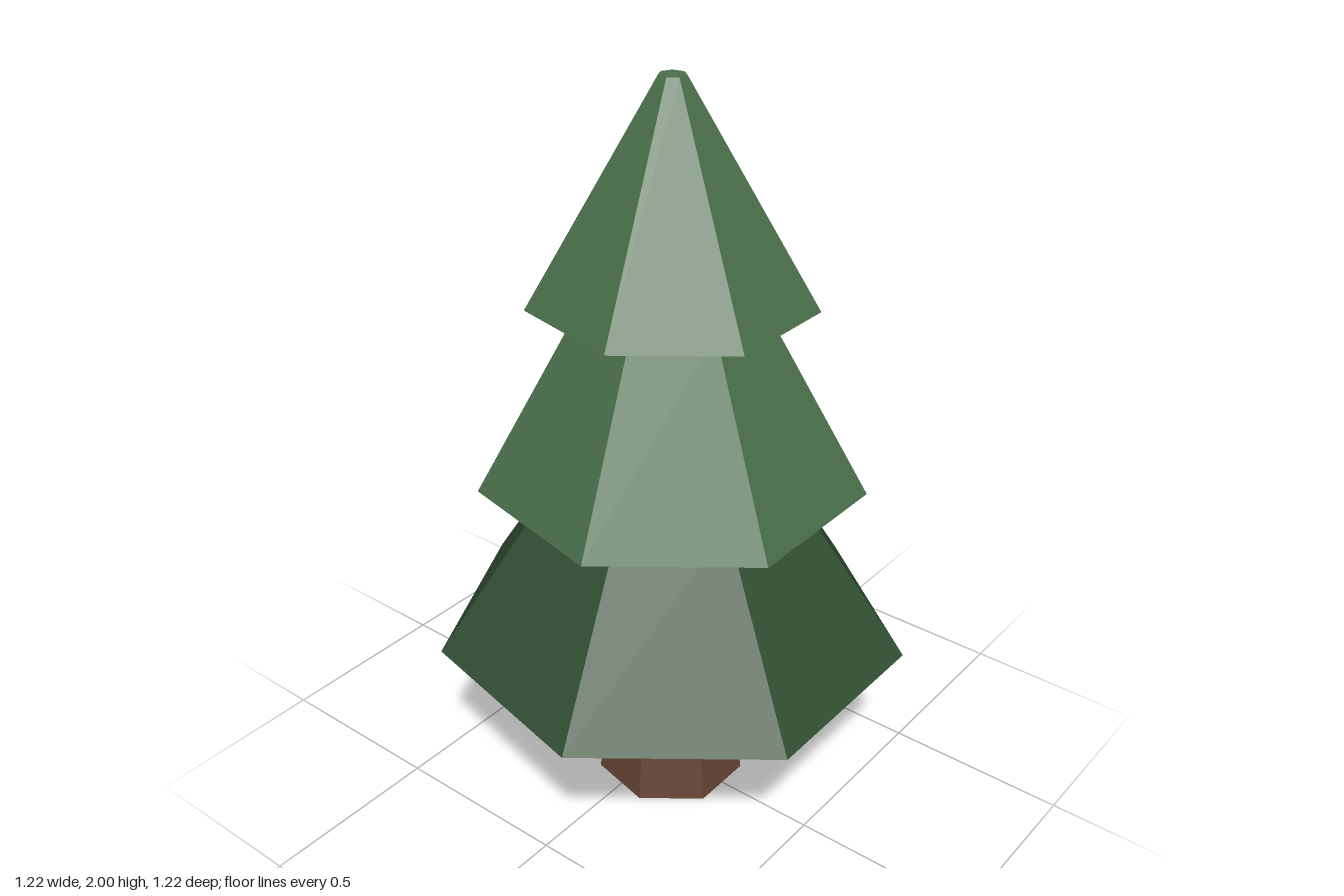
import * as THREE from 'three';

const SIDES = 7;
const DEPTH_STRETCH = 1.026; // slightly deeper than wide
const AXIS_Z = 0.032; // a corner points back, so the axis sits forward of centre

function flatMaterial(name, color) {
  const material = new THREE.MeshStandardMaterial({ color, flatShading: true });
  material.name = name;
  return material;
}

// Seven-sided frustum between two heights, with one corner pointing to the back
function frustum(name, material, bottomRadius, topRadius, y0, y1) {
  const geometry = new THREE.CylinderGeometry(topRadius, bottomRadius, y1 - y0, SIDES, 1, false, Math.PI);
  geometry.scale(1, 1, DEPTH_STRETCH);
  geometry.translate(0, (y0 + y1) / 2, AXIS_Z);
  const mesh = new THREE.Mesh(geometry, material);
  mesh.name = name;
  return mesh;
}

export function createModel() {
  const bark = flatMaterial('bark brown', 0x6a4638);
  const darkGreen = flatMaterial('dark green', 0x325033);
  const lightGreen = flatMaterial('light green', 0x4a704b);

  const tree = new THREE.Group();
  tree.name = 'pineTree';
  tree.add(
    frustum('trunk', bark, 0.203, 0.154, 0, 0.47),
    frustum('lowerBranches', darkGreen, 0.625, 0.305, 0.47, 0.955),
    frustum('middleBranches', lightGreen, 0.5, 0.226, 0.955, 1.445),
    frustum('upperBranches', lightGreen, 0.362, 0.034, 1.445, 2),
  );
  return tree;
}
